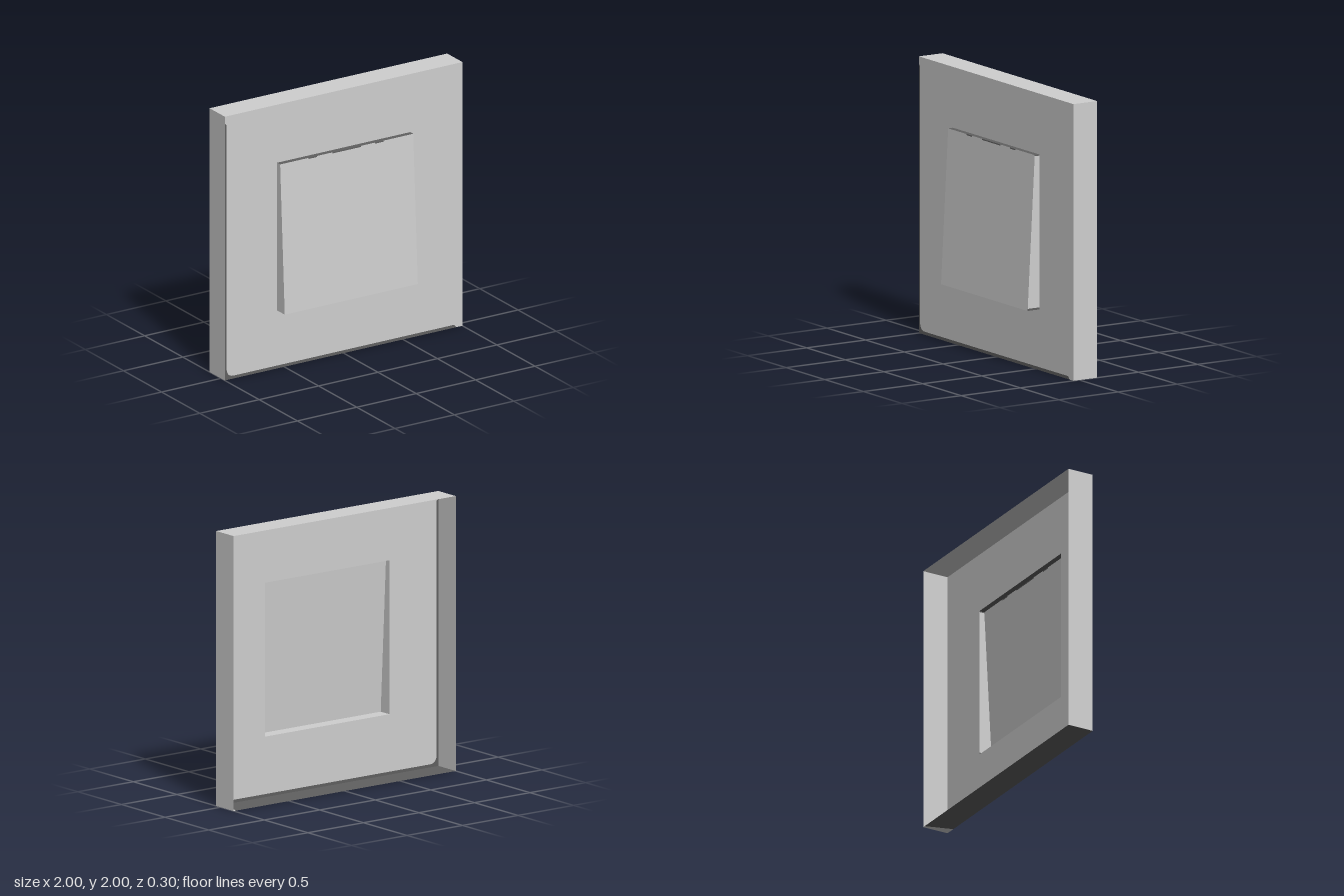
import * as THREE from 'three';

export function createModel() {
  const model = new THREE.Group();
  model.name = 'wallSwitch';
  const material = (name, color) => {
    const m = new THREE.MeshStandardMaterial({ color, side: THREE.DoubleSide });
    m.name = name;
    return m;
  };
  const light = material('lightGrey', 0xcfcfcf);
  const dark = material('darkGrey', 0x606060);

  function add(parent, name, geometry, mat) {
    const mesh = new THREE.Mesh(geometry, mat);
    mesh.name = name;
    parent.add(mesh);
    return mesh;
  }

  // Flat convex panel; corners run counter-clockwise seen from outside
  function panel(parent, name, mat, corners) {
    const points = [];
    for (let i = 1; i < corners.length - 1; i++) {
      points.push(...corners[0], ...corners[i], ...corners[i + 1]);
    }
    const g = new THREE.BufferGeometry();
    g.setAttribute('position', new THREE.Float32BufferAttribute(points, 3));
    g.computeVertexNormals();
    return add(parent, name, g, mat);
  }

  const back = -0.15, front = 0.05;
  const r = 0.56, low = 0.44, high = 1.56;

  // Hollow cover: thin walls, open at the back
  const cover = new THREE.Group();
  cover.name = 'cover';
  model.add(cover);

  // Inner line of the dark edge along the left and bottom of the front
  const traceEdge = (path) => {
    path.lineTo(0.93, 0.022);
    path.lineTo(-0.93, 0.022);
    path.quadraticCurveTo(-0.98, 0.025, -0.985, 0.08);
    path.lineTo(-0.985, 1.93);
    path.lineTo(-1, 1.95);
  };
  const face = new THREE.Shape();
  face.moveTo(0.95, 0);
  traceEdge(face);
  face.lineTo(-1, 2);
  face.lineTo(1, 2);
  face.lineTo(1, 0);
  face.closePath();
  const hole = new THREE.Path();
  hole.moveTo(-r, low);
  hole.lineTo(r, low);
  hole.lineTo(r, high);
  hole.lineTo(-r, high);
  hole.closePath();
  face.holes.push(hole);
  add(cover, 'coverFront', new THREE.ShapeGeometry(face, 8), light).position.z = front;

  const edge = new THREE.Shape();
  edge.moveTo(0.95, 0);
  traceEdge(edge);
  edge.lineTo(-1, 0);
  edge.closePath();
  add(cover, 'coverEdge', new THREE.ShapeGeometry(edge, 8), dark).position.z = front;

  panel(cover, 'coverTop', light, [[-1, 2, front], [1, 2, front], [1, 2, back], [-1, 2, back]]);
  panel(cover, 'coverLeft', light, [[1, 0, front], [1, 0, back], [1, 2, back], [1, 2, front]]);
  panel(cover, 'coverRight', light, [[-1, 0, back], [-1, 0, front], [-1, 2, front], [-1, 2, back]]);
  panel(cover, 'coverBottom', dark, [[-1, 0, back], [0.98, 0, back], [0.92, 0, front], [-1, 0, front]]);
  panel(cover, 'coverBottomCorner', light, [[0.98, 0, back], [1, 0, back], [1, 0, front], [0.92, 0, front]]);

  // Hollow rocker: sloped face, standing out further at the bottom
  const rocker = new THREE.Group();
  rocker.name = 'rocker';
  model.add(rocker);
  const zAt = (y) => 0.15 - 0.06 * (y - low) / (high - low);
  const slab = (name, mat, x0, x1, y0, y1) => panel(rocker, name, mat, [
    [x0, y0, zAt(y0)], [x1, y0, zAt(y0)], [x1, y1, zAt(y1)], [x0, y1, zAt(y1)],
  ]);
  const side = (name, mat, x, y0, y1) => {
    const c = [[x, y0, front], [x, y0, zAt(y0)], [x, y1, zAt(y1)], [x, y1, front]];
    return panel(rocker, name, mat, x > 0 ? c.reverse() : c);
  };
  const rim = high - 0.008;
  slab('rockerFace', light, -r, r, low, rim);
  // Upper rim of the face, with short dark marks
  const marks = [-r, -0.32, -0.25, -0.12, 0.12, 0.24, 0.31, r];
  for (let i = 0; i < marks.length - 1; i++) {
    slab('rockerRim', i % 2 ? dark : light, marks[i], marks[i + 1], rim, high);
  }
  side('rockerRight', light, -r, low, high);
  side('rockerLeft', light, r, low + 0.015, rim);
  side('rockerLeftLowEdge', dark, r, low, low + 0.015);
  side('rockerLeftHighEdge', dark, r, rim, high);
  panel(rocker, 'rockerTop', dark,
    [[-r, high, zAt(high)], [r, high, zAt(high)], [r, high, front], [-r, high, front]]);
  panel(rocker, 'rockerBottom', light,
    [[-r, low, front], [r, low, front], [r, low, zAt(low)], [-r, low, zAt(low)]]);

  return model;
}
